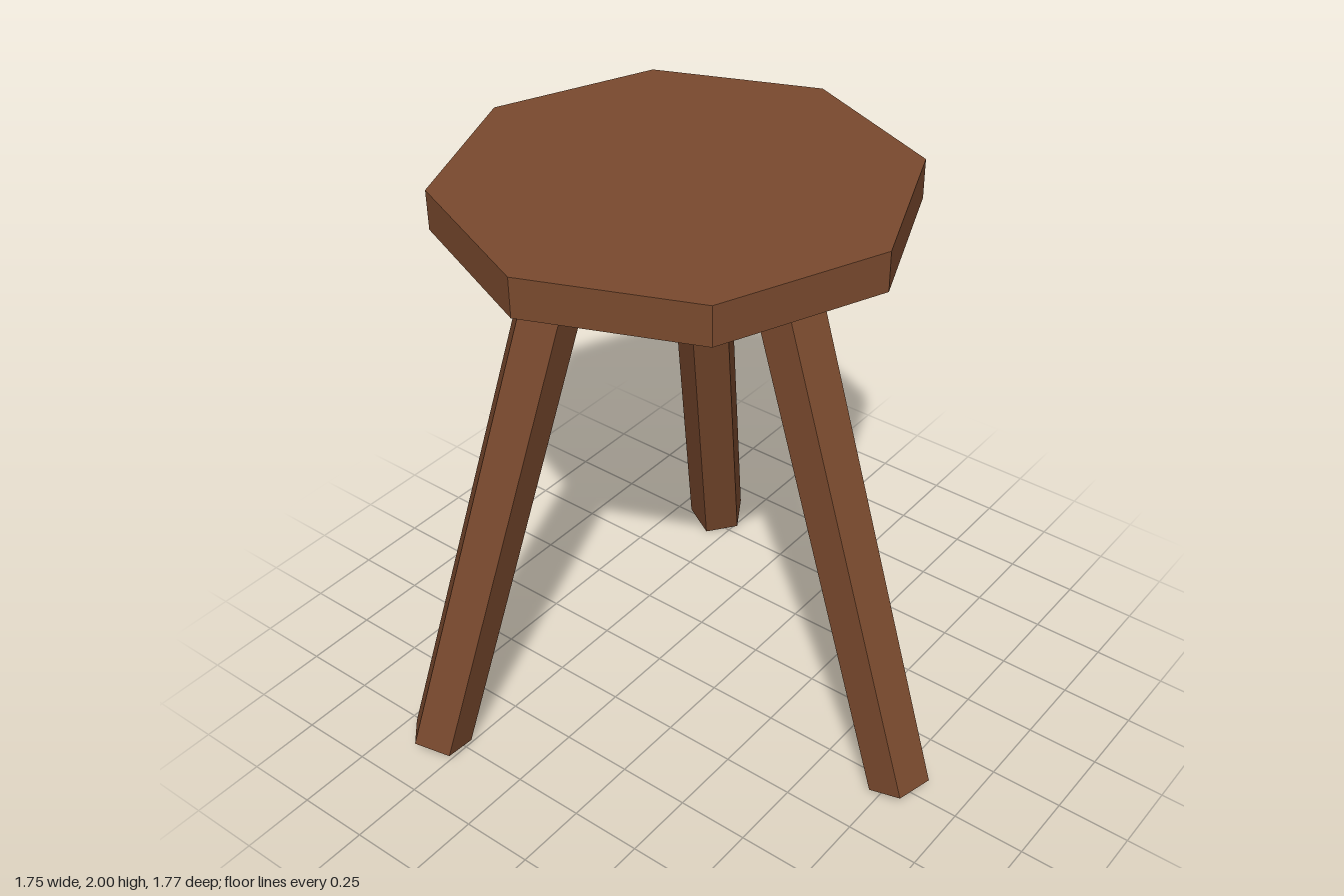
import * as THREE from 'three';

const wood = new THREE.MeshStandardMaterial({ color: 0x7a4a2e, flatShading: true });
wood.name = 'brown wood';

const SEAT_X = -0.132, SEAT_Z = -0.003;
const TILT = THREE.MathUtils.degToRad(16.5);

export function createModel() {
  const stool = new THREE.Group();
  stool.name = 'stool';
  stool.position.set(SEAT_X, 0, SEAT_Z);

  // Octagonal seat, corners on the axes
  const seat = new THREE.Mesh(new THREE.CylinderGeometry(0.742, 0.742, 0.13, 8), wood);
  seat.name = 'seat';
  seat.position.y = 1.935;
  stool.add(seat);

  // Three splayed five-sided legs, their tops sunk into the seat
  const footY = 0.033, topY = 1.93, footRadius = 0.907;
  const rise = topY - footY;
  const legShape = new THREE.CylinderGeometry(0.106, 0.106, rise / Math.cos(TILT), 5, 1, false, Math.PI);
  ['leftLeg', 'backRightLeg', 'frontRightLeg'].forEach((name, i) => {
    const leg = new THREE.Group();
    leg.name = name;
    leg.rotation.y = (i * Math.PI * 2) / 3;
    const post = new THREE.Mesh(legShape, wood);
    post.name = name + 'Post';
    post.rotation.z = TILT;
    post.position.set(footRadius - (rise / 2) * Math.tan(TILT), footY + rise / 2, 0);
    leg.add(post);
    stool.add(leg);
  });

  const model = new THREE.Group();
  model.add(stool);
  return model;
}
